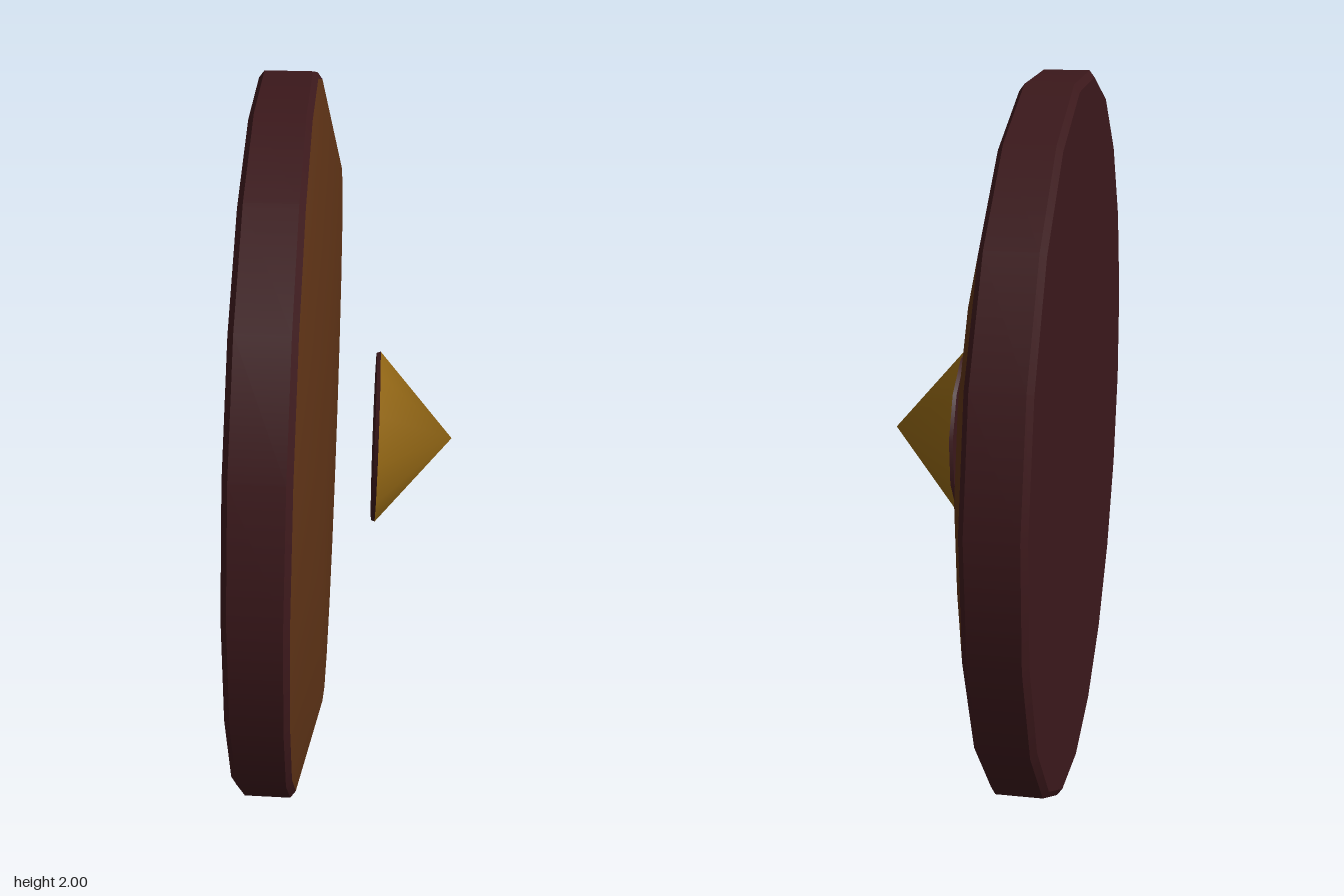
import * as THREE from 'three';
import { mergeVertices } from 'three/addons/utils/BufferGeometryUtils.js';

const mat = (name, color) => new THREE.MeshStandardMaterial({ name, color });

// Ring between two radii along local z, turned so that a flat side faces up
function frustum(rBack, rFront, zBack, zFront, sides, open = true) {
  const g = new THREE.CylinderGeometry(rFront, rBack, zFront - zBack, sides, 1, open, Math.PI / sides);
  return g.rotateX(Math.PI / 2).translate(0, 0, (zBack + zFront) / 2);
}

// Smooth surface turned from [radius, z] points, outer edge first, ending on the axis
function smoothCap(profile, sides) {
  const pts = profile.map(([r, z]) => new THREE.Vector2(r, z));
  let g = new THREE.LatheGeometry(pts, sides, Math.PI / sides).rotateX(Math.PI / 2);
  g.deleteAttribute('normal');
  g.deleteAttribute('uv');
  g = mergeVertices(g, 1e-4);
  g.computeVertexNormals();
  return g;
}

export function createModel() {
  const rimMat = mat('dark rim', 0x3b181b);
  const faceMat = mat('brown face', 0x5b3115);
  const bossMat = mat('dull gold', 0x8f6414);

  const model = new THREE.Group();
  model.name = 'roundShield';
  const add = (name, geometry, material) => {
    const mesh = new THREE.Mesh(geometry, material);
    mesh.name = name;
    model.add(mesh);
  };

  // Twenty-sided disc with slightly chamfered edges
  const n = 20, R = 1 / Math.cos(Math.PI / n), inner = R * 0.982;
  add('rim', frustum(R, R, -0.062, 0.062, n), rimMat);
  add('frontChamfer', frustum(R, inner, 0.062, 0.076, n), rimMat);
  add('back', frustum(inner, R, -0.076, -0.062, n, false), rimMat);

  // Shallow raised front face
  add('face', smoothCap([[inner, 0.076], [0.75, 0.139], [0, 0.139]], n), faceMat);

  // Pointed boss standing clear of the face, with a thin dark base
  const m = 12, r = 0.24 / Math.cos(Math.PI / m);
  add('bossBase', frustum(r * 0.985, r, 0.256, 0.266, m, false), rimMat);
  add('boss', smoothCap([[r, 0.266], [0, 0.478]], m), bossMat);

  // Stand upright, facing between front and left
  model.rotation.y = Math.PI / 3;
  model.position.y = 1;
  const root = new THREE.Group();
  root.add(model);
  return root;
}
